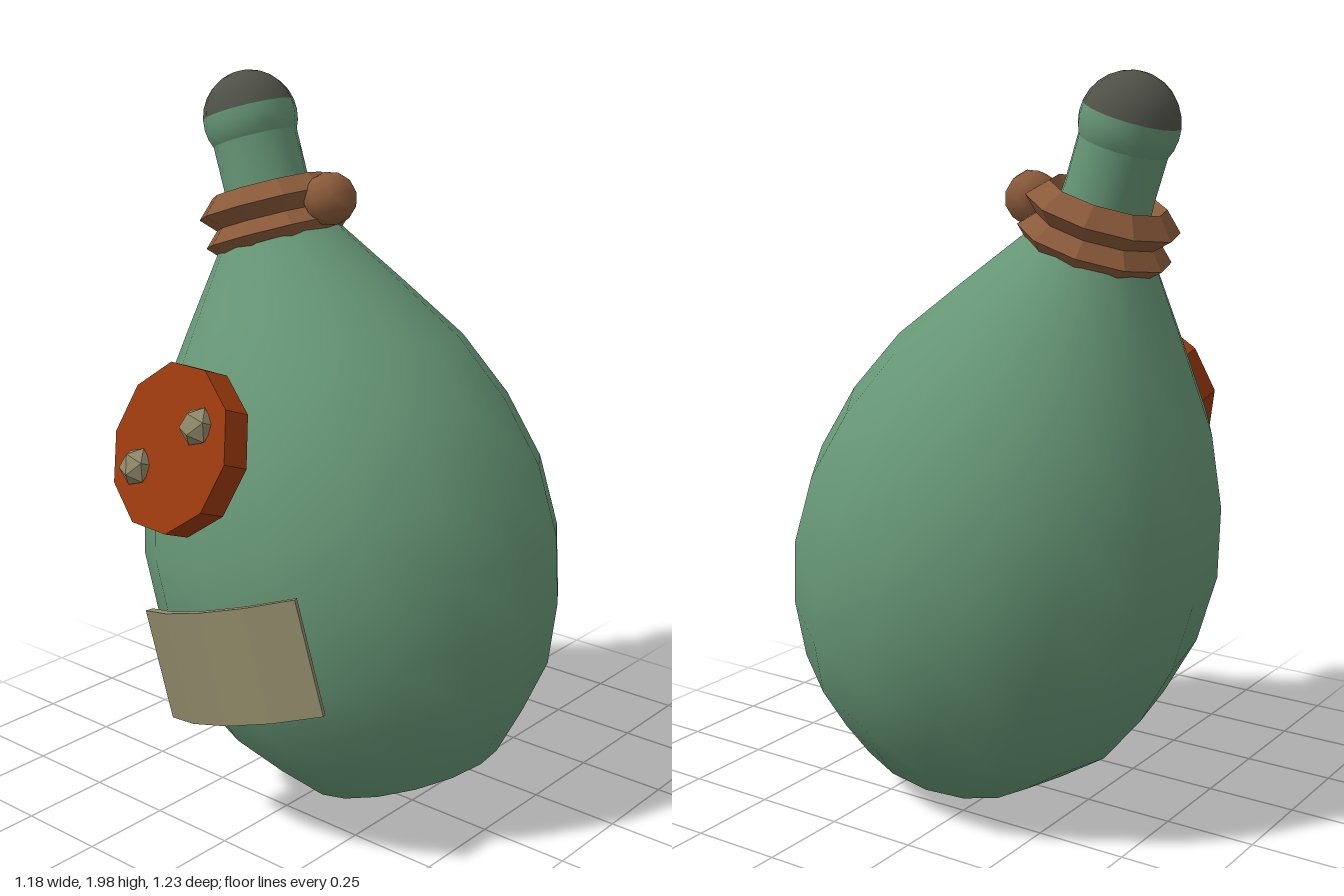
import * as THREE from 'three';

const paint = (name, color, flatShading = false) => {
  const m = new THREE.MeshStandardMaterial({ color, flatShading });
  m.name = name;
  return m;
};

export function createModel() {
  const glass = paint('greenGlass', 0x669676);
  const cork = paint('darkCork', 0x4f5148);
  const rope = paint('brownRope', 0x8a5a3a, true);
  const wax = paint('redWax', 0x9a390e, true);
  const paper = paint('beigePaper', 0x8f8868, true);

  const model = new THREE.Group();
  const bottle = new THREE.Group();
  bottle.name = 'bottle';
  bottle.position.set(0.2, 0.09, -0.04);
  bottle.rotation.z = 0.31;
  model.add(bottle);

  const add = (name, geometry, material, parent = bottle, x = 0, y = 0, z = 0) => {
    const mesh = new THREE.Mesh(geometry, material);
    mesh.name = name;
    mesh.position.set(x, y, z);
    parent.add(mesh);
    return mesh;
  };
  const lathe = (pts, sides) =>
    new THREE.LatheGeometry(pts.map(([r, y]) => new THREE.Vector2(r, y)), sides);

  // Pear-shaped body
  add('body', lathe([
    [0, 0], [0.22, 0], [0.27, 0.015], [0.37, 0.12], [0.47, 0.24], [0.535, 0.4],
    [0.573, 0.58], [0.57, 0.778], [0.52, 0.972], [0.436, 1.16],
    [0.305, 1.35], [0.17, 1.54], [0.125, 1.62],
  ], 16), glass);

  // Neck and rounded lip; the cork continues the lip's sphere
  add('neck', lathe([[0.125, 1.56], [0.117, 1.7], [0.117, 1.84]], 16), glass);
  const centre = 1.872, radius = 0.13, split = 0.18;
  const arc = (from, to, steps) => Array.from({ length: steps + 1 }, (_, i) => {
    const a = from + (to - from) * i / steps;
    return [Math.max(0, radius * Math.cos(a)), centre + radius * Math.sin(a)];
  });
  add('lip', lathe(arc(-0.7, split, 4), 16), glass);
  add('cork', lathe(arc(split, Math.PI / 2, 6), 16), cork);

  // Two rope rings with a knot
  for (const y of [1.555, 1.635]) {
    const ring = new THREE.TorusGeometry(0.155, 0.05, 4, 10).rotateX(Math.PI / 2);
    add('ropeRing', ring, rope, bottle, 0, y, 0);
  }
  const knotPaint = paint('brownKnot', 0x8a5a3a);
  add('knot', new THREE.SphereGeometry(0.072, 8, 6), knotPaint, bottle, 0.215, 1.6, 0);

  // Wax seal leaning back against the shoulder, with two studs
  const seal = new THREE.Group();
  seal.name = 'seal';
  seal.position.set(0, 1.06, 0.545);
  seal.rotation.x = -0.37;
  bottle.add(seal);
  add('sealDisc', new THREE.CylinderGeometry(0.222, 0.222, 0.075, 10).rotateX(Math.PI / 2), wax, seal);
  for (const s of [-1, 1]) {
    const stud = add('stud', new THREE.IcosahedronGeometry(0.052, 0), paper, seal, s * 0.115, s * 0.038, 0.045);
    stud.scale.z = 0.75;
  }

  // Curved label
  const half = 0.473, steps = 4, shape = new THREE.Shape();
  const points = [];
  for (let i = 0; i <= steps; i++) {
    const a = -half + 2 * half * i / steps;
    points.push(new THREE.Vector2(0.618 * Math.sin(a), 0.618 * Math.cos(a)));
  }
  for (let i = steps; i >= 0; i--) {
    const a = -half + 2 * half * i / steps;
    points.push(new THREE.Vector2(0.598 * Math.sin(a), 0.598 * Math.cos(a)));
  }
  shape.setFromPoints(points);
  const label = new THREE.ExtrudeGeometry(shape, { depth: 0.3, bevelEnabled: false });
  add('label', label.rotateX(Math.PI / 2), paper, bottle, 0, 0.648, 0);

  return model;
}
